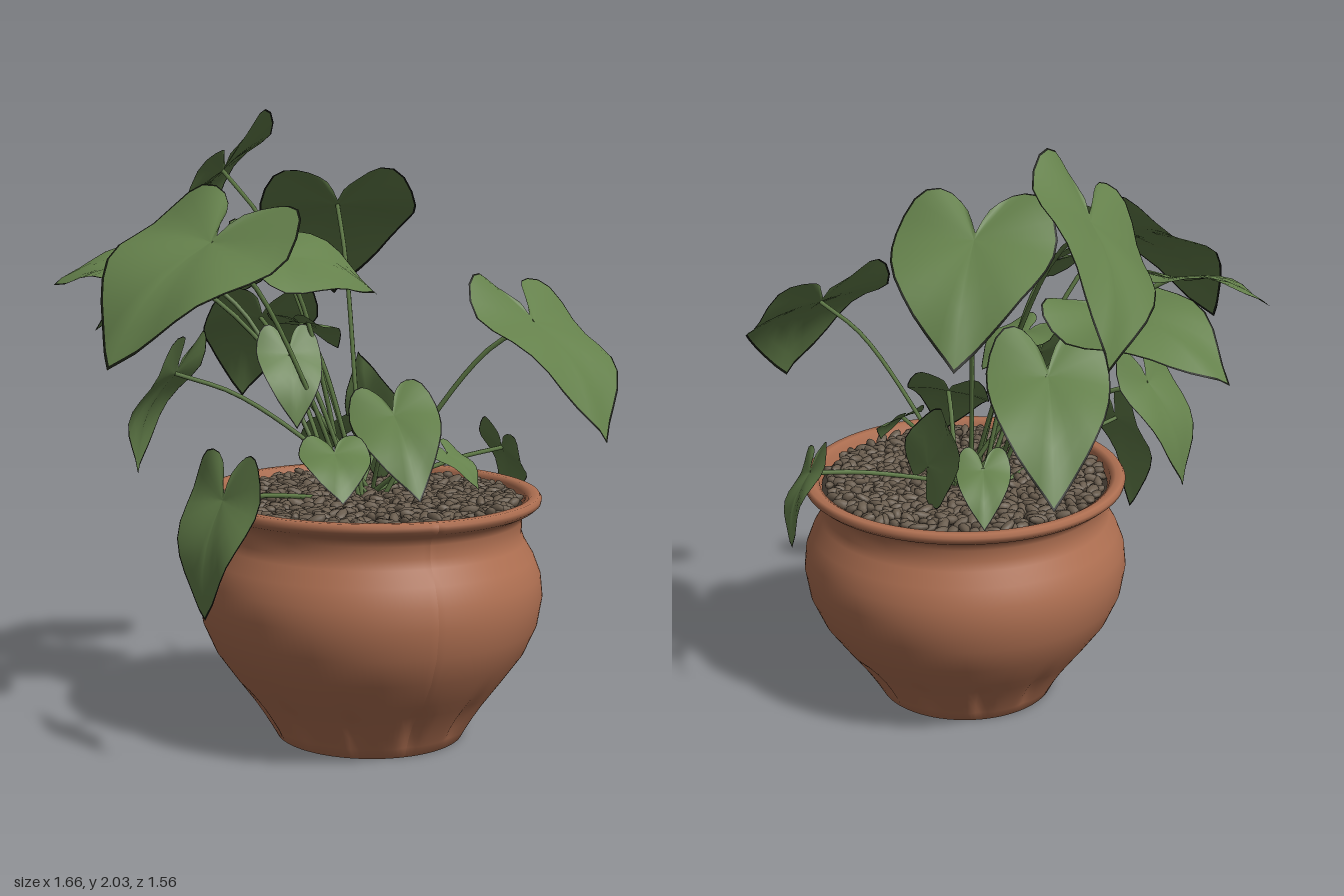
import * as THREE from 'three';
import { mergeGeometries } from 'three/addons/utils/BufferGeometryUtils.js';

const V = (a) => new THREE.Vector3(...a);
const UP = new THREE.Vector3(0, 1, 0);
const mat = (name, color, side = THREE.FrontSide) => {
  const m = new THREE.MeshStandardMaterial({ color, side });
  m.name = name;
  return m;
};

function seeded(seed) {
  return () => ((seed = (seed * 16807) % 2147483647) / 2147483647);
}

// heart outline of one half: [along, across]
const HALF = [[-0.06, 0], [-0.26, 0.16], [-0.4, 0.45], [-0.34, 0.8], [-0.05, 1], [0.27, 0.93], [0.58, 0.64], [0.84, 0.26], [1, 0]];
const RINGS = [0, 0.2, 0.4, 0.6, 0.8, 0.975, 1];

// leaf blade from stem joint to tip, level across unless rolled about its midrib
function leafGeometry(joint, tip, roll, aspect) {
  const N = V(joint), L = V(tip).sub(N), len = L.length(), wid = len * aspect;
  const W = new THREE.Vector3().crossVectors(UP, L).normalize();
  W.applyAxisAngle(L.clone().normalize(), roll);
  const n = new THREE.Vector3().crossVectors(L, W).normalize();
  if (n.y < 0) n.negate();
  const curve = new THREE.CatmullRomCurve3(HALF.map(([u, v]) => new THREE.Vector3(u, v, 0)));
  const side = curve.getPoints(18);
  const outline = [...side, ...side.slice(1, -1).reverse().map((p) => new THREE.Vector3(p.x, -p.y, 0))];
  const last = RINGS.length - 1, count = outline.length, pos = [], idx = [];
  let rimStart = 0;
  RINGS.forEach((t, r) => {
    if (r === last - 1) rimStart = idx.length;
    for (let i = 0; i < count; i++) {
      const u = outline[i].x * t, v = outline[i].y * t;
      // arched lengthways, folded at the midrib, slightly wavy at the rim
      const bend = len * (u > 0 ? 0.12 : 0.04) * Math.sin(Math.PI * u)
        + wid * (0.12 * Math.abs(v) - 0.16 * v * v + 0.04 * t * t * Math.sin(i * 1.1));
      const p = N.clone().addScaledVector(L, u).addScaledVector(W, v * wid).addScaledVector(n, bend);
      pos.push(p.x, p.y, p.z);
      if (r < last) {
        const a = r * count + i, b = r * count + (i + 1) % count;
        idx.push(a, a + count, b + count);
        if (r > 0) idx.push(a, b + count, b);
      }
    }
  });
  const g = new THREE.BufferGeometry();
  g.setAttribute('position', new THREE.Float32BufferAttribute(pos, 3));
  g.setIndex(idx);
  g.computeVertexNormals();
  // blade, then its dark rim
  g.addGroup(0, rimStart, 0);
  g.addGroup(rimStart, idx.length - rimStart, 1);
  return g;
}

// name, joint, tip, roll
const BROAD_LEAVES = [
  ['backLeaf', [0.12, 1.71, -0.11], [0.23, 1.38, -0.43]],
  ['backRightLeaf', [-0.32, 1.47, -0.15], [-0.64, 1.28, -0.4], 0.18],
  ['rightLeaf', [-0.54, 1.53, -0.02], [-0.83, 1.46, -0.17], -0.26],
  ['largeRightLeaf', [-0.44, 1.62, 0.27], [-0.8, 1.25, 0.4], -0.22],
  ['middleLeaf', [-0.17, 1.56, 0.13], [0.18, 1.42, 0.09], 0.5],
  ['largeLeftLeaf', [0.57, 1.36, 0.46], [0.68, 1.0, 0.74], -0.14],
  ['lowFrontLeaf', [-0.12, 0.98, 0.5], [-0.15, 0.85, 0.65]],
  ['smallFrontLeaf', [0.3, 0.94, 0.41], [0.37, 0.83, 0.49]],
  ['innerLeaf', [-0.08, 1.34, 0.08], [0.08, 1.24, 0]],
];
const SLIM_LEAVES = [
  ['topBackLeaf', [-0.2, 1.82, -0.36], [-0.165, 1.48, -0.78], -0.72],
  ['lowBackLeaf', [-0.08, 1.32, -0.32], [-0.04, 1.0, -0.65]],
  ['frontLeaf', [0.15, 1.06, 0.32], [0.14, 0.82, 0.56], 0.25],
  ['uprightLeaf', [-0.14, 1.25, 0.14], [-0.15, 1.02, 0.24]],
  ['hangingLeaf', [-0.48, 0.86, 0.5], [-0.54, 0.5, 0.52], -0.1],
  ['sideLeaf', [-0.47, 1.18, -0.03], [-0.57, 0.84, -0.12]],
  ['smallLeftLeaf', [0.65, 0.89, 0.07], [0.72, 0.68, -0.06], 0.8],
  ['standingLeaf', [0.27, 0.94, -0.05], [0.25, 1.2, -0.24], -1.3],
  ['lowestBackLeaf', [0.1, 0.95, -0.15], [0.12, 0.8, -0.3]],
];

// thin arching stem from the soil to a leaf joint
function stemGeometry(end, i) {
  const a = i * 2.4, r = 0.03 + 0.02 * (i % 3);
  const start = new THREE.Vector3(0.08 + r * Math.cos(a), 0.75, 0.16 + r * Math.sin(a));
  const E = V(end), rise = E.y - start.y;
  const at = (f, h) => new THREE.Vector3().lerpVectors(start, E, f).setY(start.y + rise * h);
  const curve = new THREE.CatmullRomCurve3([start, at(0.3, 0.42), at(0.7, 0.84), E]);
  return new THREE.TubeGeometry(curve, 14, 0.008, 6);
}

// round-bellied pot with a rolled rim
function potGeometry() {
  const profile = [[0, 0.03], [0.26, 0.03], [0.28, 0], [0.305, 0], [0.325, 0.035], [0.35, 0.075], [0.38, 0.12], [0.41, 0.16],
    [0.44, 0.2], [0.505, 0.29], [0.545, 0.38], [0.56, 0.47], [0.553, 0.54], [0.53, 0.6], [0.5, 0.65], [0.49, 0.68],
    [0.49, 0.72], [0.5, 0.745], [0.535, 0.762], [0.55, 0.775], [0.553, 0.79], [0.545, 0.802], [0.52, 0.802], [0.5, 0.79], [0.485, 0.7]];
  const g = new THREE.LatheGeometry(profile.map(([r, y]) => new THREE.Vector2(r, y)), 144);
  // shallow grooves above the foot, fading out at both ends
  const p = g.attributes.position;
  for (let i = 0; i < p.count; i++) {
    const x = p.getX(i), y = p.getY(i), z = p.getZ(i);
    if (y < 0.2 && Math.hypot(x, z) > 0.31) {
      const groove = Math.pow(Math.abs(Math.cos(6 * Math.atan2(x, z))), 10);
      const k = 1 - 0.045 * groove * Math.sin(Math.PI * y / 0.2);
      p.setXYZ(i, x * k, y, z * k);
    }
  }
  g.computeVertexNormals();
  return g;
}

// bed of flattened, jumbled pebbles
function pebblesGeometry() {
  const rnd = seeded(77), parts = [], count = 720;
  for (let i = 0; i < count; i++) {
    const r = 0.475 * Math.sqrt((i + 0.5) / count), a = i * 2.39996 + 0.06 * rnd();
    const g = new THREE.SphereGeometry(1, 7, 5);
    g.scale(0.025 + 0.014 * rnd(), 0.012 + 0.006 * rnd(), 0.014 + 0.007 * rnd());
    g.rotateZ((rnd() - 0.5) * 1.1);
    g.rotateX((rnd() - 0.5) * 0.9);
    g.rotateY(rnd() * Math.PI);
    g.translate(r * Math.cos(a), 0.77 + 0.018 * rnd(), r * Math.sin(a));
    parts.push(g);
  }
  return mergeGeometries(parts);
}

export function createModel() {
  const model = new THREE.Group();
  model.name = 'pottedPlant';
  const clay = mat('terracotta', 0xae6f51, THREE.DoubleSide);
  const stone = mat('pebbleBrown', 0x6a5d4e);
  const soilMat = mat('darkSoil', 0x3a332b);
  const leafMat = mat('leafGreen', 0x64804b, THREE.DoubleSide);
  const rimMat = mat('leafRimDark', 0x161a10, THREE.DoubleSide);
  const stemMat = mat('stemGreen', 0x5f7a46);
  const add = (name, geometry, material, parent = model) => {
    const mesh = new THREE.Mesh(geometry, material);
    mesh.name = name;
    parent.add(mesh);
    return mesh;
  };

  // pot and its filling
  const pot = new THREE.Group();
  pot.name = 'potAndSoil';
  pot.position.set(0.11, 0, 0.22);
  model.add(pot);
  add('pot', potGeometry(), clay, pot);
  add('soil', new THREE.CylinderGeometry(0.492, 0.485, 0.05, 64), soilMat, pot).position.y = 0.74;
  add('pebbles', pebblesGeometry(), stone, pot);

  // foliage
  const grow = (leaves, aspect) => leaves.forEach(([name, joint, tip, roll = 0], i) => {
    add(name, leafGeometry(joint, tip, roll, aspect), [leafMat, rimMat]);
    add(name + 'Stem', stemGeometry(joint, i + aspect), stemMat);
  });
  grow(BROAD_LEAVES, 0.55);
  grow(SLIM_LEAVES, 0.42);
  return model;
}
